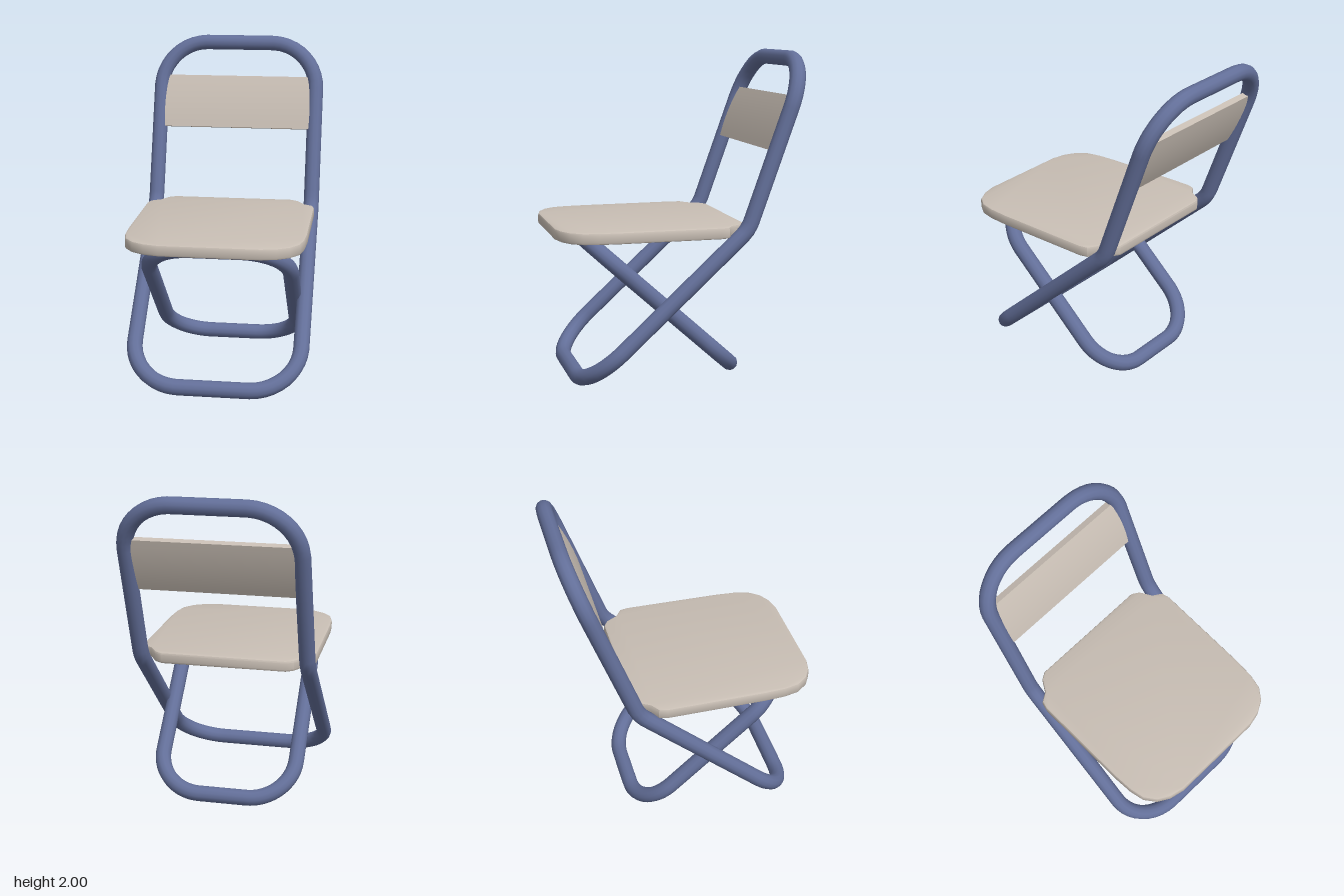
import * as THREE from 'three';
import { toCreasedNormals } from 'three/addons/utils/BufferGeometryUtils.js';

const V = (x, y, z) => new THREE.Vector3(x, y, z);

// Closed path through corners [point, cut], each corner rounded over its cut length
function roundedLoop(corners) {
  const path = new THREE.CurvePath();
  const n = corners.length;
  const toward = (a, b, d) => b.clone().sub(a).setLength(d).add(a);
  const ends = corners.map(([p, cut], i) => [
    toward(p, corners[(i + n - 1) % n][0], cut),
    toward(p, corners[(i + 1) % n][0], cut),
  ]);
  corners.forEach(([p], i) => {
    const [a, b] = ends[i];
    path.add(new THREE.CubicBezierCurve3(a, a.clone().lerp(p, 0.55), b.clone().lerp(p, 0.55), b));
    path.add(new THREE.LineCurve3(b, ends[(i + 1) % n][0]));
  });
  return path;
}

export function createModel() {
  const group = new THREE.Group();
  const blue = new THREE.MeshStandardMaterial({ color: 0x636f99 });
  blue.name = 'blueMetal';
  const beige = new THREE.MeshStandardMaterial({ color: 0xc8beb4 });
  beige.name = 'beigePanel';

  const add = (name, geometry, material) => {
    const mesh = new THREE.Mesh(geometry, material);
    mesh.name = name;
    group.add(mesh);
    return mesh;
  };
  const tube = (corners) => new THREE.TubeGeometry(roundedLoop(corners), 140, 0.049, 12, true);

  // Main frame: front foot, bent at the seat, up to the top of the back
  const w = 0.512;
  add('mainFrame', tube([
    [V(-w, 0.05, 0.625), 0.3],
    [V(w, 0.05, 0.625), 0.3],
    [V(w, 0.95, -0.365), 0.05],
    [V(w, 1.951, -0.725), 0.3],
    [V(-w, 1.951, -0.725), 0.3],
    [V(-w, 0.95, -0.365), 0.05],
  ]), blue);

  // Crossing frame: under the seat front down to the rear foot
  const inner = add('crossFrame', tube([
    [V(-0.43, 0.055, -0.35), 0.28],
    [V(-0.43, 0.9, 0.582), 0.28],
    [V(0.43, 0.9, 0.582), 0.28],
    [V(0.43, 0.055, -0.35), 0.28],
  ]), blue);
  inner.position.x = 0.012;

  // Seat: rounded at the front, notched around the frame at the back
  const b = 0.014;
  const half = [
    [0.3, 0.765], [0.39, 0.745], [0.46, 0.705], [0.51, 0.64], [0.53, 0.55], [0.538, 0.42],
    [0.541, -0.2], [0.53, -0.245], [0.475, -0.28], [0.43, -0.355], [0.39, -0.38],
  ];
  const outline = [...half, ...half.map(([x, z]) => [-x, z]).reverse()];
  const shrink = ([x, z]) => new THREE.Vector2(x * (1 - b / 0.54), 0.19 + (z - 0.19) * (1 - b / 0.575));
  const seatGeometry = new THREE.ExtrudeGeometry(new THREE.Shape(outline.map(shrink)), {
    depth: 0.07 - 2 * b, bevelEnabled: true, bevelSize: b, bevelThickness: b, bevelSegments: 2,
  });
  seatGeometry.rotateX(Math.PI / 2);
  seatGeometry.translate(0, 0.975 - b, 0);
  add('seat', toCreasedNormals(seatGeometry, 0.6), beige);

  // Backrest: slanted panel with softly bulged faces, drawn as (-z, y) profile
  const profile = new THREE.Shape();
  profile.moveTo(0.502, 1.42);
  profile.lineTo(0.535, 1.41);
  profile.quadraticCurveTo(0.625, 1.565, 0.67, 1.73);
  profile.lineTo(0.632, 1.742);
  profile.quadraticCurveTo(0.55, 1.59, 0.502, 1.42);
  const backGeometry = new THREE.ExtrudeGeometry(profile, { depth: 0.96, bevelEnabled: false, curveSegments: 8 });
  backGeometry.rotateY(Math.PI / 2);
  backGeometry.translate(-0.48, 0, 0);
  add('backrest', toCreasedNormals(backGeometry, 0.6), beige);

  return group;
}
